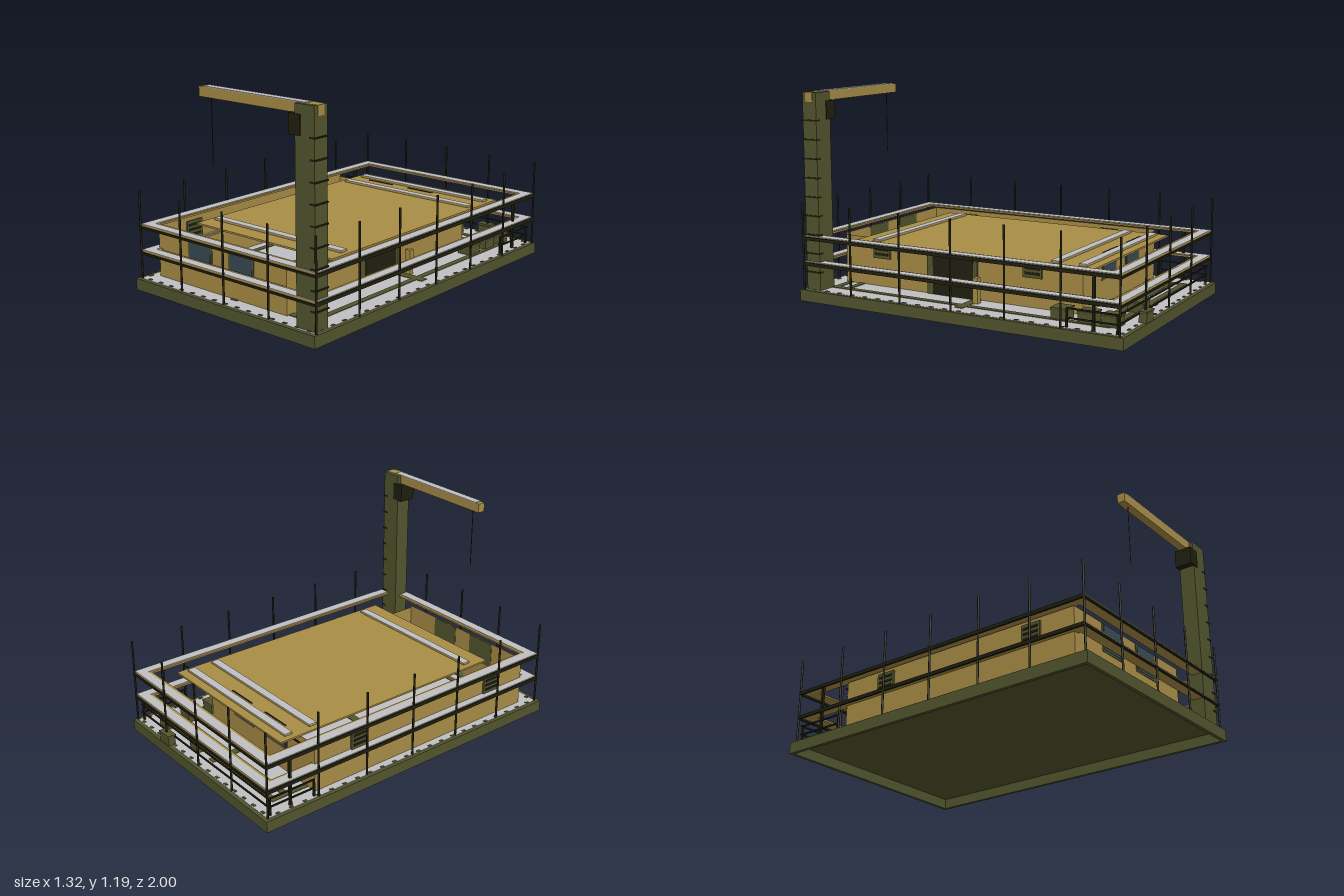
import * as THREE from 'three';

const mat = (name, color) => {
  const m = new THREE.MeshStandardMaterial({ color });
  m.name = name;
  return m;
};

export function createModel() {
  const model = new THREE.Group();
  const tan = mat('tan boards', 0xa98d46);
  const olive = mat('olive metal', 0x52552d);
  const dark = mat('dark iron', 0x1f1f10);
  const grey = mat('pale grey', 0xc0c0c2);
  const glass = mat('window glass', 0x3a4a53);

  // Box given by its minimum and maximum on each axis
  const box = (name, material, x0, x1, y0, y1, z0, z1, parent = model) => {
    const mesh = new THREE.Mesh(new THREE.BoxGeometry(x1 - x0, y1 - y0, z1 - z0), material);
    mesh.name = name;
    mesh.position.set((x0 + x1) / 2, (y0 + y1) / 2, (z0 + z1) / 2);
    parent.add(mesh);
  };
  const group = (name) => {
    const g = new THREE.Group();
    g.name = name;
    model.add(g);
    return g;
  };

  // Platform: hollow rim below a thin deck
  const platform = group('platform');
  for (const s of [-1, 1]) {
    box('sideRim', olive, s * 0.65 - 0.01, s * 0.65 + 0.01, 0, 0.065, -1, 1, platform);
    box('endRim', olive, -0.64, 0.64, 0, 0.065, s * 0.99 - 0.01, s * 0.99 + 0.01, platform);
  }
  box('deck', olive, -0.64, 0.64, 0.058, 0.064, -0.98, 0.98, platform);
  box('floor', grey, -0.638, 0.638, 0.064, 0.066, -0.978, 0.978, platform);

  // Strips and cleats on the floor
  const floor = group('floorStrips');
  for (const s of [-1, 1]) {
    box('sideStrip', olive, s * 0.515 - 0.018, s * 0.515 + 0.018, 0.065, 0.069, -0.87, 0.87, floor);
    box('endStrip', olive, -0.53, 0.53, 0.065, 0.069, s * 0.855 - 0.018, s * 0.855 + 0.018, floor);
    box('innerStrip', olive, -0.5, 0.5, 0.065, 0.069, s * 0.775 - 0.018, s * 0.775 + 0.018, floor);
    for (let i = 0; i < 15; i++) {
      const x = -0.59 + i * 0.084;
      box('edgeCleat', olive, x, x + 0.022, 0.065, 0.07, s * 0.965 - 0.007, s * 0.965 + 0.007, floor);
    }
    for (let i = 0; i < 22; i++) {
      const z = -0.92 + i * 0.087;
      box('edgeCleat', olive, s * 0.63 - 0.007, s * 0.63 + 0.007, 0.065, 0.07, z, z + 0.022, floor);
    }
  }
  box('crossStrip', olive, -0.57, 0.57, 0.065, 0.069, -0.025, 0.025, floor);
  box('longStrip', olive, -0.023, 0.023, 0.065, 0.069, -0.9, 0.9, floor);

  // Thin walls of the hut
  const hut = group('hut');
  const X0 = -0.59, X1 = 0.37, Z0 = -0.64, Z1 = 0.885, TOP = 0.356, T = 0.003;
  box('frontWall', tan, X0, X1, 0.065, TOP, Z1 - T, Z1, hut);
  box('backWall', tan, X0, X1, 0.065, 0.344, Z0, Z0 + T, hut);
  box('leftWall', tan, X1 - T, X1, 0.065, 0.344, Z0, Z1, hut);
  box('rightWall', tan, X0, X0 + T, 0.065, TOP, Z0, Z1, hut);

  // Windows: olive frame through the wall, glass on the outer face
  for (const x of [-0.26, 0.048]) {
    for (const [z, out] of [[Z1, 1], [Z0, -1]]) {
      const zf = z - out * 0.001, zg = z + out * 0.004;
      box('windowFrame', olive, x - 0.093, x + 0.093, 0.2, 0.352, zf - 0.004, zf + 0.004, hut);
      box('windowGlass', glass, x - 0.08, x + 0.08, 0.212, 0.351, zg - 0.001, zg + 0.001, hut);
    }
    box('windowHood', dark, x - 0.093, x + 0.093, 0.345, 0.358, -0.652, -0.643, hut);
  }
  box('porchLintel', dark, -0.565, 0.58, 0.336, 0.344, -0.684, -0.676, hut);

  // Slatted vents on the side walls
  for (const x of [X0, X1]) {
    for (const z of [0.63, -0.345]) {
      box('ventFrame', olive, x - 0.012, x + 0.012, 0.23, 0.335, z - 0.057, z + 0.057, hut);
      for (let i = 0; i < 3; i++) {
        const y = 0.248 + i * 0.028;
        box('ventSlot', dark, x - 0.016, x + 0.016, y, y + 0.013, z - 0.045, z + 0.045, hut);
      }
    }
  }

  // Doorway on the left wall
  box('doorFrame', olive, X1 - 0.002, X1 + 0.012, 0.065, 0.344, -0.005, 0.32, hut);
  box('door', dark, X1, X1 + 0.016, 0.068, 0.325, 0.02, 0.28, hut);
  box('doorPost', tan, 0.42, 0.455, 0.065, 0.21, -0.05, -0.02, hut);

  // Roof sheet and its covered battens
  box('roof', tan, -0.475, 0.52, 0.345, 0.355, -0.77, 0.71);
  for (const z of [-0.695, -0.535, 0.585]) {
    box('roofBatten', tan, -0.44, 0.49, 0.354, 0.364, z - 0.023, z + 0.023);
    box('battenTop', grey, -0.44, 0.49, 0.364, 0.368, z - 0.023, z + 0.023);
  }

  // Scaffold posts around the platform
  const scaffold = group('scaffold');
  scaffold.position.x = 0.007;
  const postShape = new THREE.CylinderGeometry(0.006, 0.006, 0.5, 8);
  const post = (x, z) => {
    const mesh = new THREE.Mesh(postShape, dark);
    mesh.name = 'post';
    mesh.position.set(x, 0.313, z);
    scaffold.add(mesh);
  };
  for (const s of [-1, 1]) {
    for (let i = -2; i <= 2; i++) post(i * 0.321, s * 0.975);
    for (let i = -2; i <= 2; i++) post(s * 0.642, i * 0.325);
  }

  // Two levels of walkway boards with iron rails below
  for (const y of [0.365, 0.218]) {
    for (const s of [-1, 1]) {
      const span = (a, b) => (s > 0 ? [a, b] : [-b, -a]);
      const [xa, xb] = span(0.569, 0.64), [xc, xd] = span(0.584, 0.64);
      const [za, zb] = span(0.9, 0.972), [zc, zd] = span(0.917, 0.972);
      box('sideBoard', tan, xa, xb, y, y + 0.01, -0.9, 0.9, scaffold);
      box('sideBoardTop', grey, xc, xd, y + 0.01, y + 0.013, -0.917, 0.917, scaffold);
      box('endBoard', tan, -0.64, 0.64, y, y + 0.01, za, zb, scaffold);
      box('endBoardTop', grey, -0.64, 0.64, y + 0.01, y + 0.013, zc, zd, scaffold);
      box('endRail', dark, -0.646, 0.646, y - 0.011, y, s * 0.975 - 0.006, s * 0.975 + 0.006, scaffold);
      box('sideRail', dark, s * 0.642 - 0.006, s * 0.642 + 0.006, y - 0.011, y + 0.008, -0.975, 0.975, scaffold);
    }
  }

  // Low railing around the rear porch
  const porch = group('rearPorch');
  for (const y of [0.115, 0.165]) {
    box('rearBar', dark, -0.63, 0.63, y - 0.004, y + 0.004, -0.96, -0.952, porch);
    for (const s of [-1, 1])
      box('sideBar', dark, s * 0.62 - 0.004, s * 0.62 + 0.004, y - 0.004, y + 0.004, -0.96, -0.67, porch);
  }
  for (const s of [-1, 1]) {
    box('porchPost', dark, s * 0.61 - 0.007, s * 0.61 + 0.007, 0.065, 0.365, -0.822, -0.808, porch);
    for (const z of [-0.67, -0.95])
      box('railPost', dark, s * 0.62 - 0.005, s * 0.62 + 0.005, 0.065, 0.168, z - 0.005, z + 0.005, porch);
  }

  // Storage crates
  for (const [x, z] of [[0.155, -0.86], [0.475, -0.86], [0.47, -0.725], [0.47, -0.57], [0.32, -0.975]]) {
    const w = z < -0.95 ? 0.022 : 0.045;
    box('crate', olive, x - 0.045, x + 0.045, 0.065, 0.115, z - w, z + w, porch);
    box('crateLid', olive, x - 0.048, x + 0.048, 0.117, 0.127, z - w - 0.003, z + w + 0.003, porch);
    box('crateSeam', dark, x - 0.046, x + 0.046, 0.115, 0.117, z - w - 0.001, z + w + 0.001, porch);
  }

  // Crane: column, ladder rungs, arm, winch and cable
  const crane = group('crane');
  box('column', olive, 0.51, 0.635, 0.065, 1.185, 0.873, 0.965, crane);
  for (let i = 0; i < 9; i++) {
    const y = 0.17 + i * 0.1075;
    box('rung', dark, 0.605, 0.64, y - 0.004, y + 0.004, 0.87, 0.968, crane);
  }
  box('arm', tan, -0.17, 0.638, 1.133, 1.186, 0.897, 0.943, crane);
  box('armTop', grey, -0.14, 0.56, 1.186, 1.19, 0.897, 0.943, crane);
  box('winch', dark, 0.472, 0.547, 1.03, 1.135, 0.869, 0.969, crane);
  const cable = new THREE.Mesh(new THREE.CylinderGeometry(0.0025, 0.0025, 0.36, 6), dark);
  cable.name = 'cable';
  cable.position.set(-0.103, 0.956, 0.92);
  crane.add(cable);

  return model;
}
